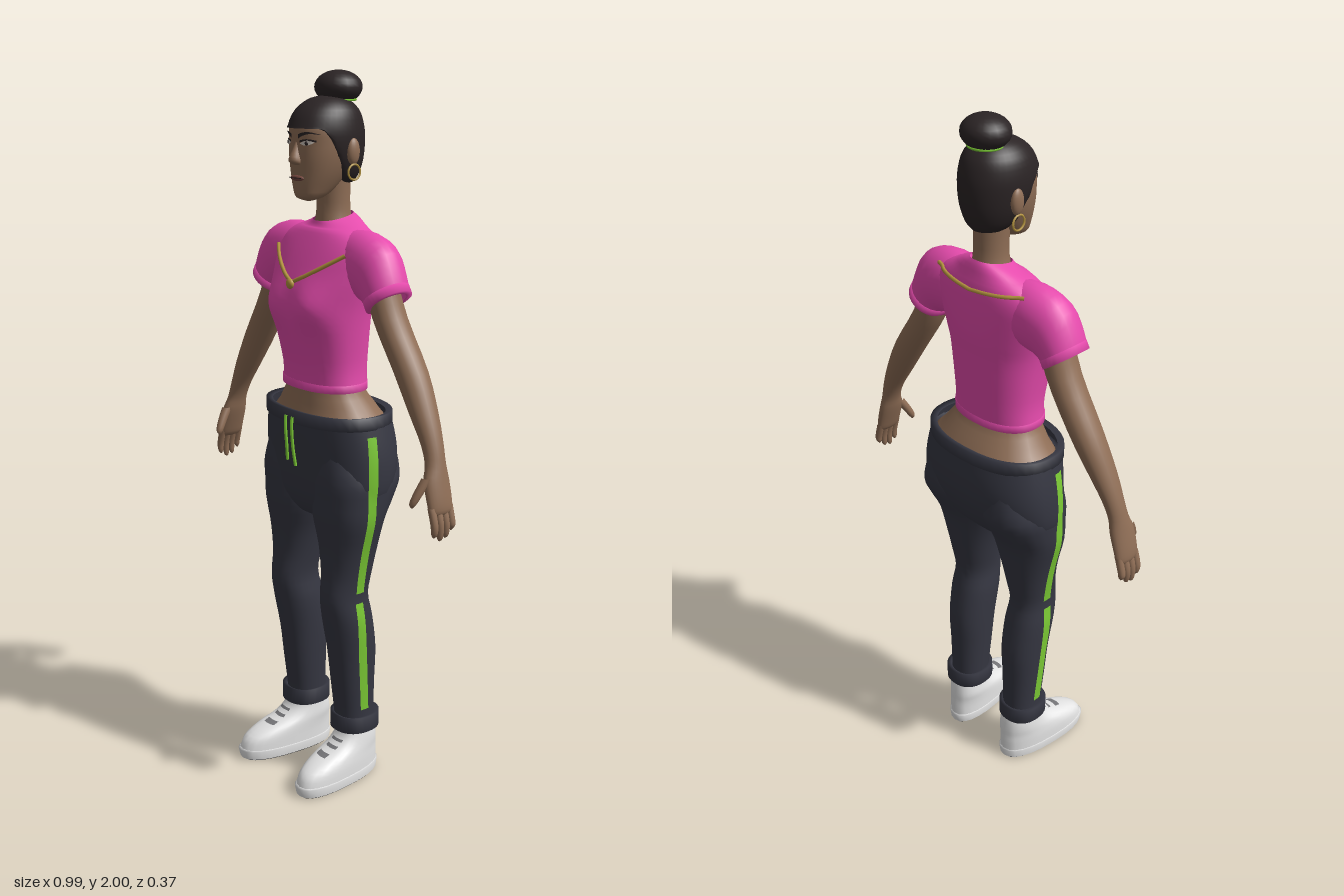
import * as THREE from 'three';

const mat = (name, color, side = THREE.FrontSide) => {
  const m = new THREE.MeshStandardMaterial({ color, side });
  m.name = name;
  return m;
};

// Smooth interpolation between four numbers
const spline = (a, b, c, d, t) =>
  b + 0.5 * t * (c - a + t * (2 * a - 5 * b + 4 * c - d + t * (3 * (b - c) + d - a)));

// Skin over rings listed from top to bottom: [y, centreX, halfWidth, zBack, zFront, tiltDegrees]
function loft(sections, { segs = 24, steps = 3, power = 2, warp } = {}) {
  const S = sections.map(s => [...s, 0].slice(0, 6)), rings = [];
  for (let i = 0; i < S.length - 1; i++) {
    const [a, b, c, d] = [S[Math.max(i - 1, 0)], S[i], S[i + 1], S[Math.min(i + 2, S.length - 1)]];
    for (let k = 0; k < steps; k++) rings.push(b.map((_, n) => (steps === 1 ? b[n] : spline(a[n], b[n], c[n], d[n], k / steps))));
  }
  rings.push(S[S.length - 1]);
  const pos = [], idx = [], v = new THREE.Vector3();
  const round = c => Math.sign(c) * Math.abs(c) ** (2 / power);
  rings.forEach(([y, cx, rx, zb, zf, tilt], i) => {
    const a = THREE.MathUtils.degToRad(tilt);
    for (let j = 0; j < segs; j++) {
      const t = (j / segs) * Math.PI * 2, u = rx * round(Math.cos(t));
      v.set(cx + u * Math.cos(a), y + u * Math.sin(a), (zb + zf) / 2 + ((zf - zb) / 2) * round(Math.sin(t)));
      if (warp) warp(v);
      pos.push(v.x, v.y, v.z);
      if (i < rings.length - 1) {
        const p = i * segs + j, q = i * segs + (j + 1) % segs;
        idx.push(p, q, p + segs, q, q + segs, p + segs);
      }
    }
  });
  return build(pos, idx);
}

function build(pos, idx) {
  const g = new THREE.BufferGeometry();
  g.setAttribute('position', new THREE.Float32BufferAttribute(pos, 3));
  g.setIndex(idx);
  g.computeVertexNormals();
  return g;
}

// First surface point seen along a direction, lifted slightly
const ray = new THREE.Raycaster();
function drape(targets, from, dir, lift = 0.004) {
  ray.set(from, dir);
  const hit = ray.intersectObjects(targets, false)[0];
  return hit ? hit.point.clone().addScaledVector(dir, -lift) : null;
}

// Thin painted plate that follows a surface; at(u, v) gives ray origins
function patch(targets, dir, at, nu, nv) {
  const pos = [], idx = [];
  let last = new THREE.Vector3();
  for (let i = 0; i <= nu; i++) for (let j = 0; j <= nv; j++) {
    last = drape(targets, at(i / nu, j / nv), dir) || last;
    pos.push(last.x, last.y, last.z);
    if (i < nu && j < nv) {
      const p = i * (nv + 1) + j, q = p + nv + 1;
      idx.push(p, p + 1, q, p + 1, q + 1, q);
    }
  }
  return build(pos, idx);
}

const ball = (x, y, z, rx, ry, rz) => new THREE.SphereGeometry(1, 20, 14).scale(rx, ry, rz).translate(x, y, z);

function mirrored(geo) {
  const g = geo.clone().scale(-1, 1, 1), ix = g.index.array;
  for (let i = 0; i < ix.length; i += 3) [ix[i], ix[i + 1]] = [ix[i + 1], ix[i]];
  g.computeVertexNormals();
  return g;
}

export function createModel() {
  const model = new THREE.Group();
  const skin = mat('skin brown', 0x8f6e56), hair = mat('hair black', 0x2b2425, THREE.DoubleSide);
  const pink = mat('shirt pink', 0xe64bad, THREE.DoubleSide), navy = mat('trouser slate', 0x363742, THREE.DoubleSide);
  const lime = mat('stripe lime', 0x7ccb35, THREE.DoubleSide), gold = mat('gold', 0xb3933f);
  const white = mat('shoe white', 0xe6e6e6), grey = mat('rubber grey', 0x77777a, THREE.DoubleSide);
  const lipTone = mat('lip brown', 0x75483f, THREE.DoubleSide), eyeTone = mat('eye white', 0xcfc6bd, THREE.DoubleSide);
  const add = (name, geo, m) => {
    const mesh = new THREE.Mesh(geo, m);
    mesh.name = name;
    model.add(mesh);
    return mesh;
  };
  const pair = (name, geo, m) => {
    add('right' + name, mirrored(geo), m);
    return add('left' + name, geo, m);
  };
  const V = (x, y, z) => new THREE.Vector3(x, y, z);
  const back = V(0, 0, -1), forward = V(0, 0, 1), inward = V(-1, 0, 0);

  // Head, neck and midriff
  const head = add('head', loft([
    [1.92, 0, 0.02, -0.07, 0], [1.9, 0, 0.065, -0.1, 0.045], [1.86, 0, 0.081, -0.12, 0.071],
    [1.82, 0, 0.083, -0.12, 0.072], [1.78, 0, 0.079, -0.11, 0.073], [1.74, 0, 0.068, -0.085, 0.071],
    [1.7, 0, 0.05, -0.05, 0.069], [1.675, 0, 0.034, -0.01, 0.062], [1.665, 0, 0.004, 0.02, 0.035],
  ], { segs: 32, power: 2.2 }), skin);
  add('neck', loft([[1.75, 0, 0.05, -0.1, 0], [1.66, 0, 0.045, -0.1, -0.008], [1.61, 0, 0.05, -0.105, -0.005], [1.55, 0, 0.07, -0.11, 0]]), skin);
  add('midriff', loft([[1.2, 0, 0.12, -0.1, 0.05], [1.155, 0, 0.13, -0.112, 0.056], [1.1, 0, 0.168, -0.148, 0.068], [1.06, 0, 0.188, -0.156, 0.074], [1.05, 0, 0.01, -0.02, 0.01]], { power: 2.2 }), skin);

  // Face
  add('nose', loft([[1.825, 0, 0.006, 0.05, 0.07], [1.8, 0, 0.01, 0.05, 0.082], [1.775, 0, 0.018, 0.05, 0.093], [1.763, 0, 0.016, 0.05, 0.082], [1.76, 0, 0.002, 0.06, 0.065]], { segs: 12 }), skin);
  const facePlate = (x0, x1, mid, half) => patch([head], back,
    (u, v) => V(x0 + (x1 - x0) * u, mid(u) + (v * 2 - 1) * half(u), 1), 10, 2);
  const lens = h => u => h * Math.sin(Math.PI * u) + 0.0004;
  pair('Eyebrow', facePlate(0.014, 0.066, u => 1.835 + 0.009 * Math.sin(u * 2.6), u => 0.005 * (1.1 - u)), hair);
  pair('Eye', facePlate(0.02, 0.056, u => 1.817 + 0.003 * u, lens(0.006)), eyeTone);
  pair('Eyelid', facePlate(0.018, 0.06, u => 1.822 + 0.004 * Math.sin(u * 3), () => 0.0025), hair);
  pair('Iris', ball(0.037, 1.818, 0.0655, 0.006, 0.006, 0.005), hair);
  add('lips', ball(0, 1.727, 0.068, 0.027, 0.008, 0.009), lipTone);
  add('mouthLine', facePlate(-0.026, 0.026, () => 1.728, () => 0.001).translate(0, 0, 0.006), hair);
  pair('Ear', ball(0.087, 1.795, -0.05, 0.013, 0.035, 0.02), skin);
  pair('Earring', new THREE.TorusGeometry(0.02, 0.003, 6, 20).rotateY(Math.PI / 2).translate(0.092, 1.742, -0.05), gold);

  // Hair cap with a rising front hairline, bun and tie
  add('hair', loft([
    [1.936, 0, 0.002, -0.04, -0.03], [1.928, 0, 0.045, -0.085, 0.015], [1.9, 0, 0.077, -0.12, 0.056],
    [1.86, 0, 0.089, -0.136, 0.079], [1.82, 0, 0.09, -0.14, 0.08], [1.77, 0, 0.082, -0.136, 0.06],
    [1.73, 0, 0.065, -0.124, 0.03], [1.71, 0, 0.045, -0.11, 0],
  ], { segs: 40, warp: p => { p.y = Math.max(p.y, 1.71 + 0.145 * THREE.MathUtils.smoothstep(p.z, -0.06, 0.045)); } }), hair);
  add('bun', ball(0, 1.956, -0.07, 0.066, 0.044, 0.063), hair);
  add('hairTie', new THREE.TorusGeometry(0.045, 0.004, 6, 24).rotateX(Math.PI / 2).translate(0, 1.924, -0.07), lime);

  // Cropped shirt: collar drops at the front, chest is shaped by a rule
  const shirt = add('shirt', loft([
    [1.622, 0, 0.05, -0.108, 0], [1.6, 0, 0.1, -0.118, 0.01], [1.57, 0, 0.16, -0.128, 0.028], [1.53, 0, 0.182, -0.134, 0.05],
    [1.48, 0, 0.174, -0.137, 0.075], [1.42, 0, 0.16, -0.136, 0.103], [1.37, 0, 0.15, -0.13, 0.108],
    [1.3, 0, 0.14, -0.125, 0.088], [1.22, 0, 0.132, -0.12, 0.07], [1.16, 0, 0.136, -0.116, 0.064],
  ], { segs: 36, power: 2.3, warp: p => {
    if (p.y > 1.59) p.y -= 0.2 * (p.z + 0.06) * Math.min((p.y - 1.59) / 0.02, 1);
    if (p.z > 0) p.z += 0.01 * Math.exp(-(((p.y - 1.39) / 0.05) ** 2)) * Math.cos((Math.abs(p.x) - 0.075) * 35);
  } }), pink);
  const band = (y, cx, rx, zb, zf, h, d, tilt = 0, power = 2) => loft([
    [y - h * 0.1, cx, rx - d, zb + d, zf - d, tilt], [y, cx, rx, zb, zf, tilt], [y - h, cx + h * Math.sin(tilt * 0.0175), rx, zb, zf, tilt],
    [y - h, cx + h * Math.sin(tilt * 0.0175), rx - d, zb + d, zf - d, tilt],
  ], { steps: 1, power, segs: 36 });
  add('shirtHem', band(1.18, 0, 0.137, -0.119, 0.068, 0.022, 0.008, 0, 2.3), pink);
  const sleeve = pair('Sleeve', loft([
    [1.5, 0.06, 0.085, -0.105, 0.015, 90], [1.506, 0.14, 0.09, -0.113, 0.024, 86], [1.49, 0.198, 0.088, -0.11, 0.027, 64],
    [1.455, 0.23, 0.069, -0.105, 0.027, 46], [1.425, 0.245, 0.06, -0.102, 0.024, 36],
  ]), pink);
  pair('SleeveHem', band(1.44, 0.238, 0.063, -0.105, 0.027, 0.02, 0.016, 36), pink);

  // Arms and hands
  pair('Arm', loft([
    [1.48, 0.215, 0.04, -0.085, 0.005], [1.38, 0.247, 0.047, -0.092, 0.002], [1.25, 0.328, 0.047, -0.094, -0.003],
    [1.15, 0.386, 0.038, -0.083, -0.005], [1.08, 0.423, 0.028, -0.072, -0.009], [1.03, 0.442, 0.023, -0.067, -0.006],
    [0.99, 0.452, 0.023, -0.071, 0.008], [0.94, 0.466, 0.02, -0.071, 0.01], [0.91, 0.473, 0.015, -0.068, 0.006], [0.9, 0.475, 0.003, -0.05, -0.01],
  ]), skin);
  [0.855, 0.838, 0.833, 0.845].forEach((tip, i) => {
    const z = -0.06 + i * 0.02, ring = (y, x, r) => [y, x, r, z - r, z + r];
    pair('Finger' + (i + 1), loft([ring(0.925, 0.47, 0.011), ring(0.88, 0.483, 0.0105), ring(tip + 0.01, 0.483, 0.008), ring(tip, 0.481, 0.001)], { segs: 10 }), skin);
  });
  pair('Thumb', loft([[1, 0.449, 0.014, -0.02, 0.012], [0.965, 0.443, 0.013, 0.004, 0.032], [0.935, 0.437, 0.01, 0.023, 0.044], [0.922, 0.435, 0.002, 0.033, 0.038]], { segs: 12 }), skin);

  // Trousers
  const hips = add('trouserHips', loft([
    [1.1, 0, 0.203, -0.168, 0.092], [1.02, 0, 0.219, -0.182, 0.087], [0.95, 0, 0.226, -0.18, 0.081], [0.88, 0, 0.22, -0.155, 0.074],
    [0.83, 0, 0.185, -0.12, 0.06], [0.795, 0, 0.1, -0.08, 0.035], [0.785, 0, 0.005, -0.03, 0],
  ], { segs: 36, power: 2.3 }).translate(0, -0.003, 0), navy);
  add('waistband', band(1.103, 0, 0.209, -0.175, 0.098, 0.036, 0.018, 0, 2.3), navy);
  const leg = pair('TrouserLeg', loft([
    [1, 0.11, 0.08, -0.165, 0.065], [0.92, 0.112, 0.107, -0.174, 0.076], [0.86, 0.111, 0.109, -0.148, 0.073], [0.8, 0.11, 0.105, -0.116, 0.07],
    [0.72, 0.112, 0.083, -0.1, 0.06], [0.64, 0.113, 0.067, -0.086, 0.058], [0.57, 0.114, 0.059, -0.076, 0.066], [0.5, 0.113, 0.066, -0.09, 0.055],
    [0.4, 0.112, 0.063, -0.106, 0.036], [0.3, 0.112, 0.058, -0.104, 0.024], [0.2, 0.112, 0.053, -0.104, 0.012], [0.16, 0.114, 0.053, -0.104, 0.012],
  ], { power: 2.2 }), navy);
  pair('TrouserCuff', band(0.2, 0.115, 0.065, -0.116, 0.023, 0.048, 0.014, 0, 2.3), navy);

  // Side stripes and drawstrings
  const stripe = (y0, y1, z0, z1) => patch([leg, hips], inward,
    (u, v) => V(1, y0 + (y1 - y0) * u, z0 + (z1 - z0) * u + (v - 0.5) * 0.027), 24, 2);
  pair('UpperStripe', stripe(1.05, 0.59, -0.018, -0.012), lime);
  pair('LowerStripe', stripe(0.56, 0.22, -0.01, -0.04), lime);
  const cord = (pts, r) => new THREE.TubeGeometry(new THREE.CatmullRomCurve3(pts.filter(Boolean)), 40, r, 6);
  [[-0.014, 0.955], [0.014, 0.945]].forEach(([x, end], i) => add('drawstring' + (i + 1),
    cord([V(x, 1.085, 0.1), V(x, 1.06, 0.102), V(x, 1, 0.098), V(x * 1.3, end, 0.092)], 0.0045), lime));

  // Necklace draped over the shirt
  const chain = (dir, w, y) => {
    const pts = [];
    for (let i = -8; i <= 8; i++) pts.push(drape([shirt, sleeve, model.getObjectByName('rightSleeve')], V((i / 8) * w, y(Math.abs(i / 8)), -dir.z), dir, 0.003));
    return cord(pts, 0.0055);
  };
  add('necklaceFront', chain(back, 0.145, t => 1.455 + 0.08 * t ** 1.2), gold);
  add('necklaceBack', chain(forward, 0.155, t => 1.56 + 0.012 * t), gold);
  const pendant = drape([shirt], V(0, 1.45, 1), back);
  add('pendant', ball(0, 1.45, pendant.z + 0.002, 0.014, 0.014, 0.009), gold);

  // Shoes: toes turn slightly outward
  const splay = p => { p.x += 0.1 * p.z; };
  const shoe = pair('Shoe', loft([
    [0.175, 0.118, 0.045, -0.1, 0.005], [0.14, 0.12, 0.05, -0.112, 0.015], [0.11, 0.12, 0.054, -0.118, 0.05],
    [0.085, 0.121, 0.056, -0.12, 0.12], [0.06, 0.122, 0.057, -0.122, 0.163], [0.025, 0.122, 0.057, -0.122, 0.178],
  ], { power: 2.4, warp: splay }), white);
  pair('ShoeSole', loft([[0.034, 0.122, 0.055, -0.12, 0.174], [0.03, 0.122, 0.06, -0.126, 0.182], [0.004, 0.122, 0.057, -0.122, 0.176]], { steps: 1, power: 2.4, warp: splay }), white);
  pair('ShoeTread', loft([[0.005, 0.122, 0.057, -0.122, 0.176], [0, 0.122, 0.053, -0.118, 0.17], [0, 0.122, 0.001, 0.02, 0.03]], { steps: 1, power: 2.4, warp: splay }), grey);
  [0.128, 0.113, 0.099].forEach((y, i) => pair('Lace' + (i + 1), patch([shoe], back,
    (u, v) => V(0.104 + 0.042 * u, y + (v - 0.5) * 0.006, 1), 6, 1), grey));

  return model;
}
